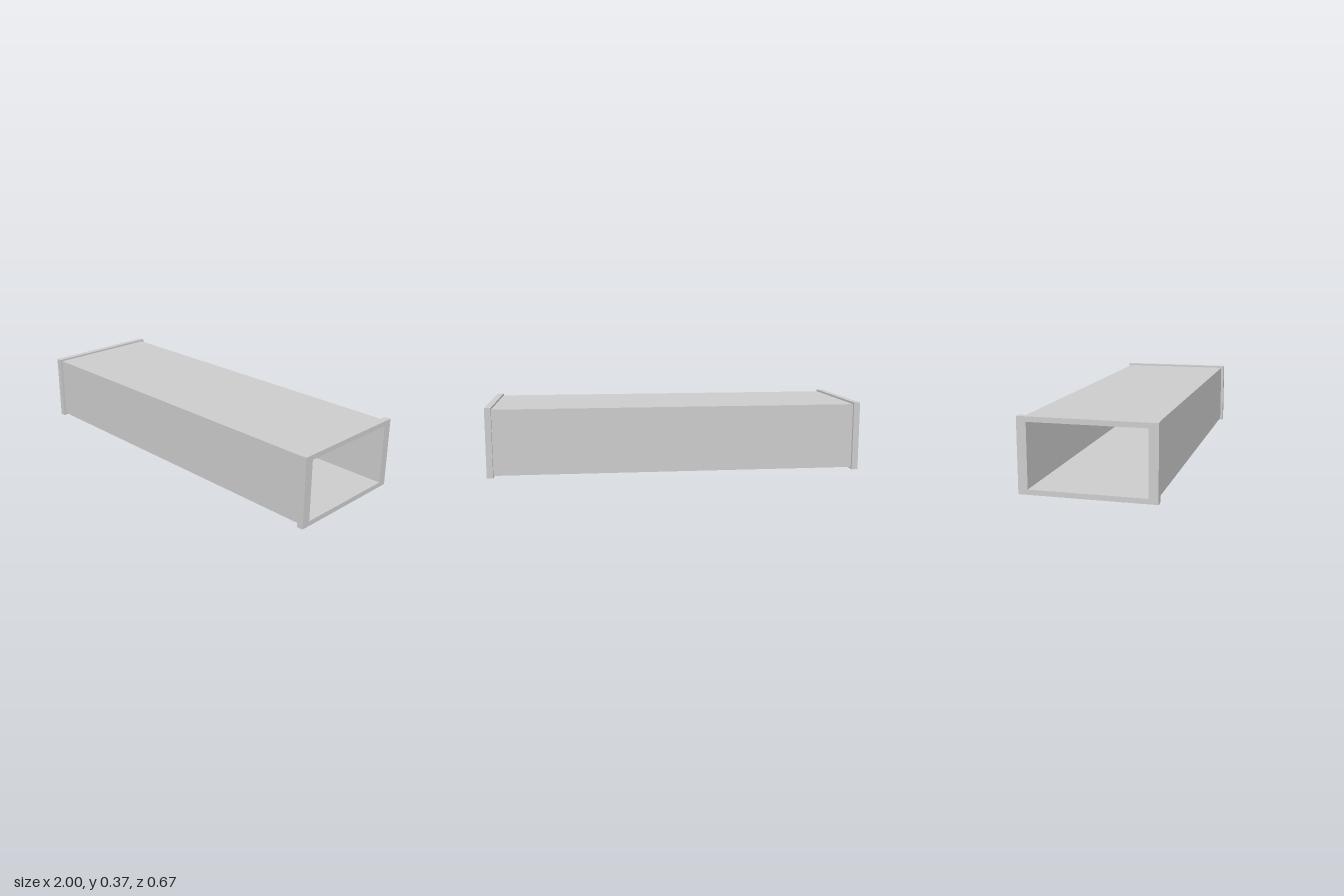
import * as THREE from 'three';

const material = new THREE.MeshStandardMaterial({ color: 0xcccccc, flatShading: true });
const MID_Y = 0.185;      // height of the duct's axis
const FLANGE = 0.033;     // flange thickness along x
const OPENING = { w: 0.573, h: 0.319 };

function rectPoints(w, h) {
  return [[-w, -h], [w, -h], [w, h], [-w, h]].map(([x, y]) => new THREE.Vector2(x / 2, y / 2));
}

// Rectangular tube running along x, centred at the given x
function rectTube(name, w, h, length, x) {
  const shape = new THREE.Shape(rectPoints(w, h));
  shape.holes.push(new THREE.Path(rectPoints(OPENING.w, OPENING.h).reverse()));
  const geometry = new THREE.ExtrudeGeometry(shape, { depth: length, bevelEnabled: false });
  geometry.translate(0, 0, -length / 2);
  geometry.rotateY(Math.PI / 2);
  const mesh = new THREE.Mesh(geometry, material);
  mesh.name = name;
  mesh.position.set(x, MID_Y, 0);
  return mesh;
}

export function createModel() {
  const group = new THREE.Group();
  group.name = 'rectangularDuct';

  // Long hollow body between the flanges
  group.add(rectTube('ductBody', 0.636, 0.349, 2 - 2 * FLANGE, 0));

  // Raised flange frame at each end
  for (const side of [-1, 1]) {
    const name = side > 0 ? 'leftFlange' : 'rightFlange';
    group.add(rectTube(name, 0.667, 0.37, FLANGE, side * (1 - FLANGE / 2)));
  }
  return group;
}
